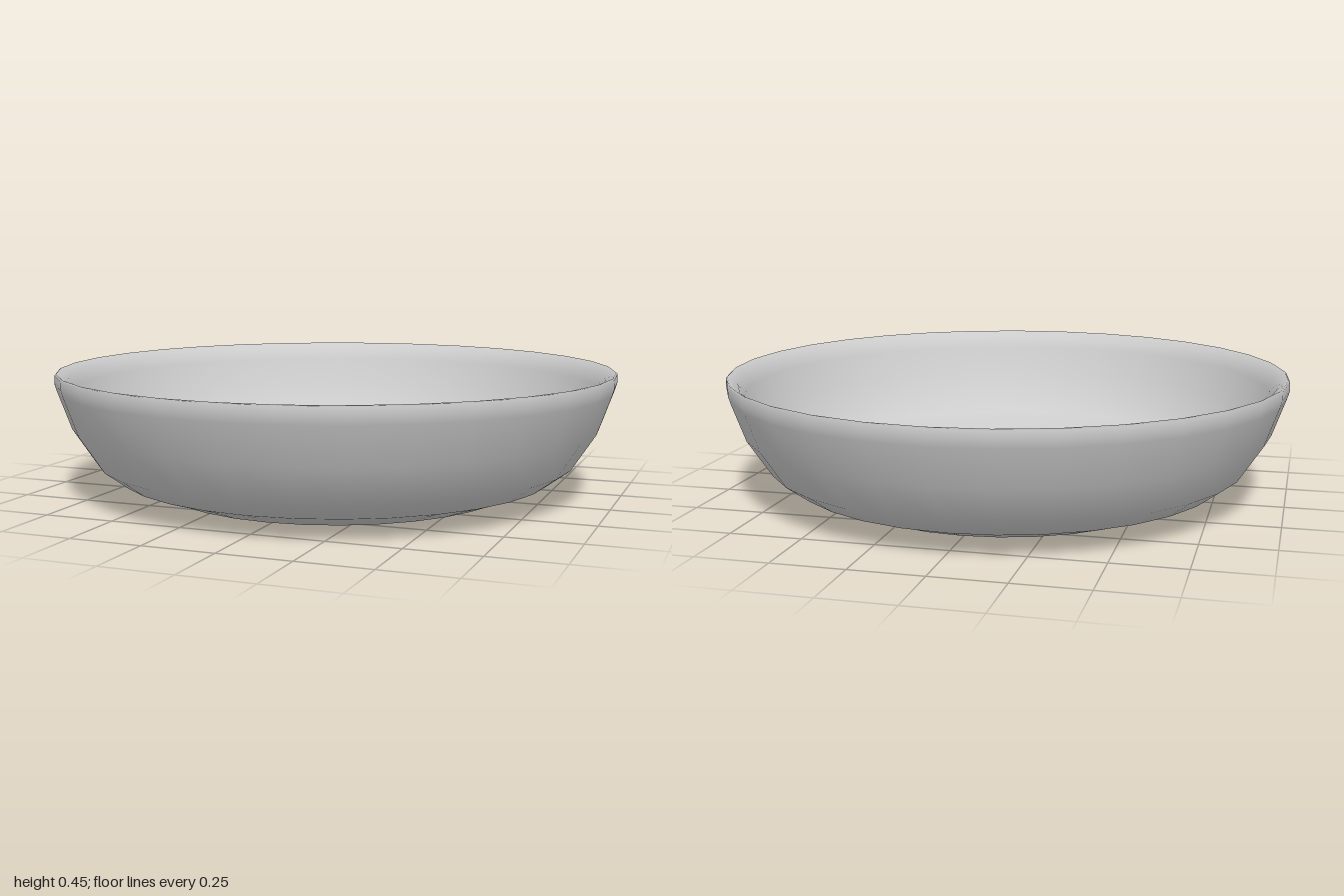
import * as THREE from 'three';

export function createModel() {
  const group = new THREE.Group();
  group.name = 'bowl';

  // Closed wall profile: underside, outer wall, bevelled rim, inner wall, raised floor
  const profile = [
    [0, 0], [0.56, 0], [0.62, 0.009], [0.7, 0.04], [0.78, 0.066], [0.86, 0.125],
    [0.945, 0.255], [0.993, 0.39], [1, 0.415], [1, 0.445], [0.994, 0.45],
    [0.96, 0.425], [0.94, 0.385], [0.9, 0.285], [0.83, 0.18], [0.77, 0.135],
    [0.72, 0.116], [0.67, 0.104], [0.63, 0.09], [0.6, 0.086], [0.57, 0.086], [0, 0.086],
  ].map(([r, y]) => new THREE.Vector2(r, y));

  const bowl = new THREE.Mesh(
    new THREE.LatheGeometry(profile, 32),
    new THREE.MeshStandardMaterial({ color: 0xcccccc })
  );
  bowl.name = 'bowlShell';
  group.add(bowl);
  return group;
}
